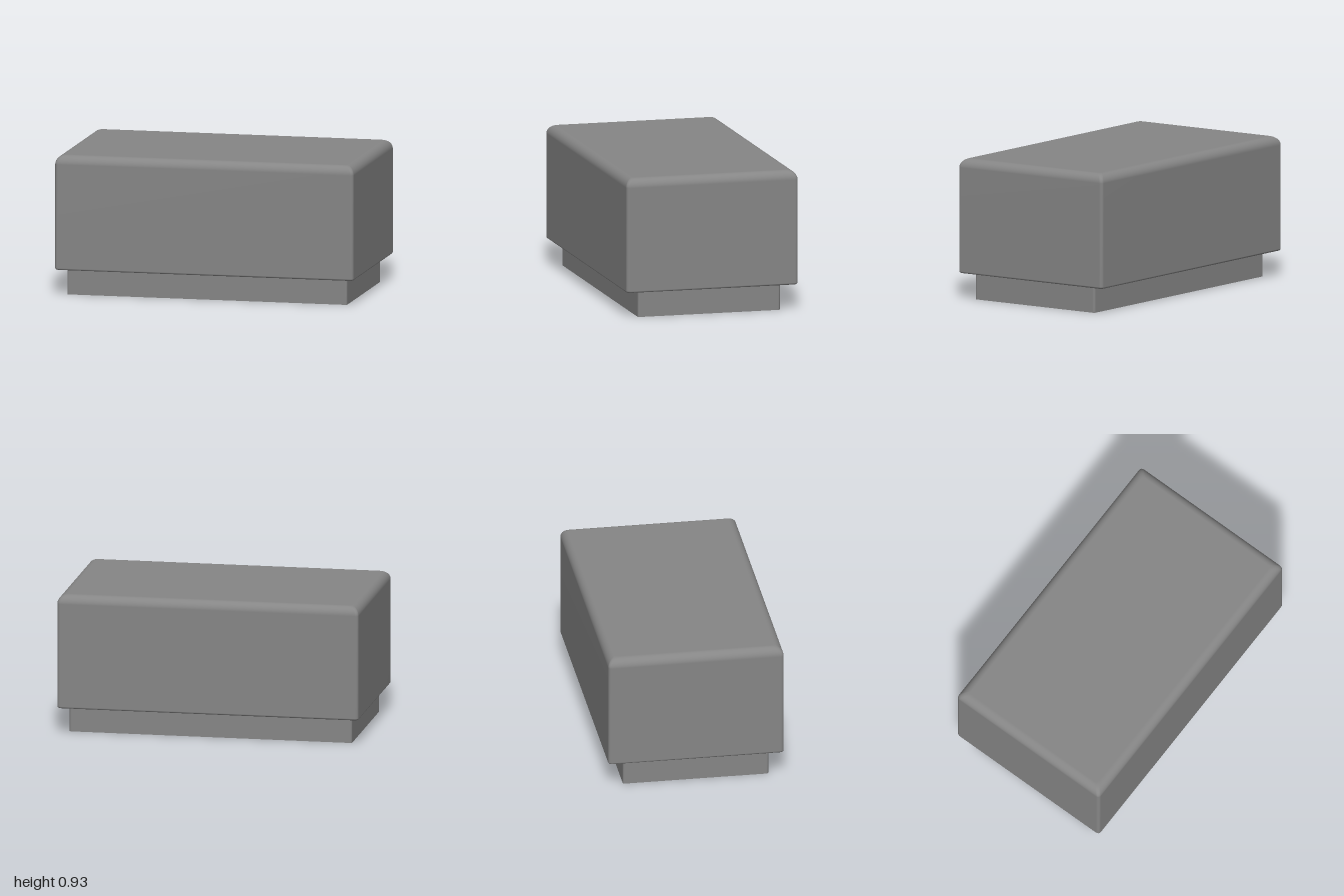
import * as THREE from 'three';

// Outline of a rounded rectangle with half sizes a (x) and b (z)
function ring(a, b, r, y, steps = 4) {
  const pts = [];
  for (let q = 0; q < 4; q++) {
    const sx = q === 0 || q === 3 ? 1 : -1;
    const sz = q < 2 ? 1 : -1;
    for (let i = 0; i <= steps; i++) {
      const t = (q + i / steps) * Math.PI / 2;
      pts.push([sx * (a - r) + r * Math.cos(t), y, sz * (b - r) + r * Math.sin(t)]);
    }
  }
  return pts;
}

// Skin over a stack of rings, bottom to top, with optional flat caps
function loft(rings, capped) {
  const n = rings[0].length;
  const pos = rings.flat(2);
  const index = [];
  for (let j = 0; j < rings.length - 1; j++) {
    for (let i = 0; i < n; i++) {
      const k = (i + 1) % n;
      const a = j * n + i, b = j * n + k, c = b + n, d = a + n;
      index.push(a, d, b, b, d, c);
    }
  }
  if (capped) {
    const last = (rings.length - 1) * n;
    const bottom = rings.length * n, top = bottom + 1;
    pos.push(0, rings[0][0][1], 0, 0, rings[rings.length - 1][0][1], 0);
    for (let i = 0; i < n; i++) {
      const k = (i + 1) % n;
      index.push(bottom, i, k, top, last + k, last + i);
    }
  }
  const geo = new THREE.BufferGeometry();
  geo.setAttribute('position', new THREE.Float32BufferAttribute(pos, 3));
  geo.setIndex(index);
  geo.computeVertexNormals();
  return geo;
}

export function createModel() {
  const group = new THREE.Group();
  const color = 0x868686;
  const X = 1, Z = 0.58, Y0 = 0.173, Y1 = 0.93;
  const corner = 0.022, topR = 0.06, bottomR = 0.013;

  // Cushion block: small round at the bottom edge, larger round at the top
  const rings = [];
  const addRound = (r, yCentre, from, steps) => {
    for (let i = 0; i <= steps; i++) {
      const t = from + (i / steps) * Math.PI / 2;
      const inset = r * (1 - Math.cos(t));
      rings.push(ring(X - inset, Z - inset, corner, yCentre + r * Math.sin(t)));
    }
  };
  addRound(bottomR, Y0 + bottomR, -Math.PI / 2, 4);
  addRound(topR, Y1 - topR, 0, 8);
  const cushion = new THREE.Mesh(
    loft(rings, true),
    new THREE.MeshStandardMaterial({ color })
  );
  cushion.name = 'cushion';
  group.add(cushion);

  // Recessed base: a thin skirt, open underneath
  const base = new THREE.Mesh(
    loft([ring(0.938, 0.481, 0.015, 0), ring(0.938, 0.481, 0.015, Y0)], false),
    new THREE.MeshStandardMaterial({ color, side: THREE.DoubleSide })
  );
  base.position.set(-0.001, 0, 0.006);
  base.name = 'base';
  group.add(base);

  return group;
}
